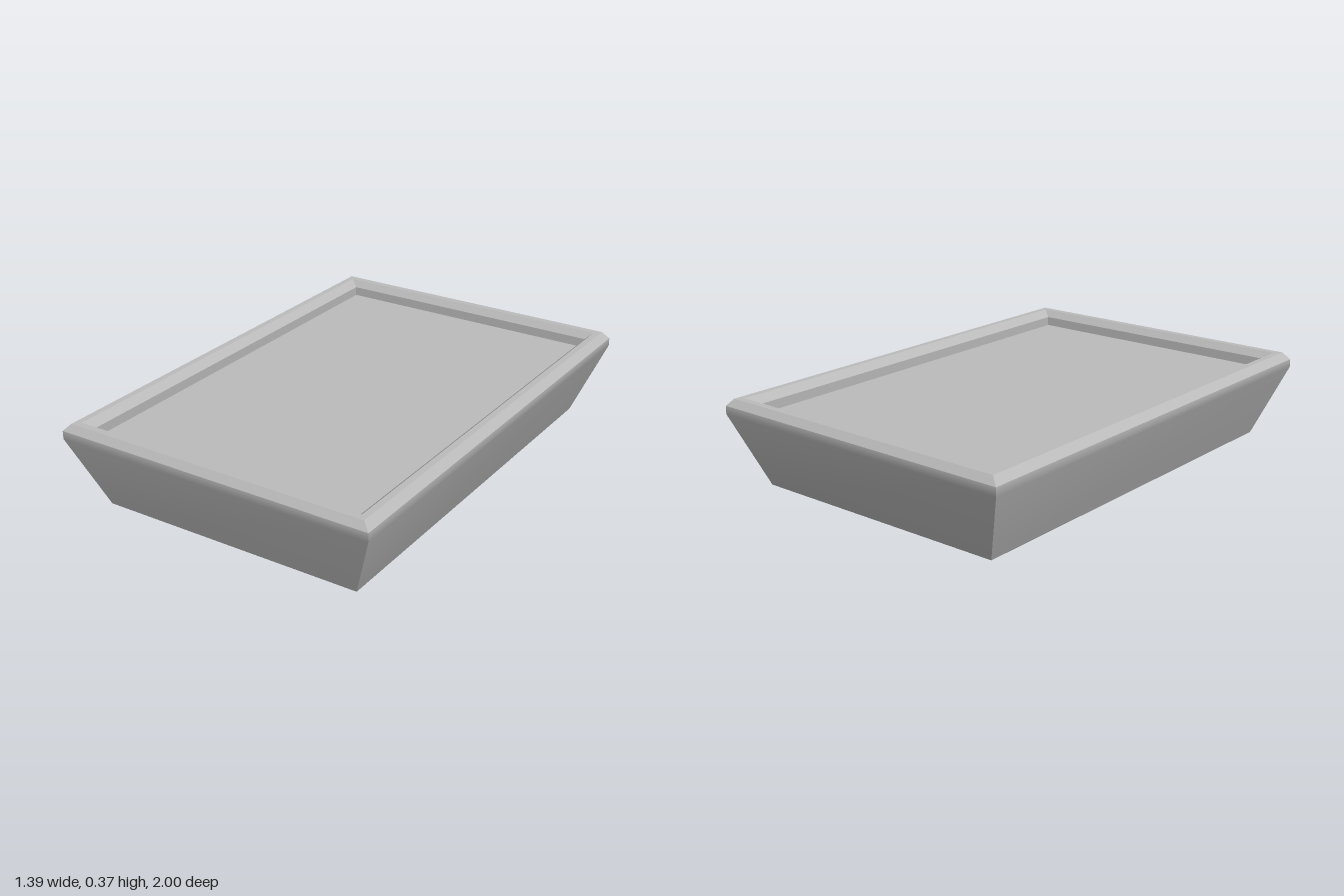
import * as THREE from 'three';

// Four mitred sides swept through rectangular rings [halfX, halfZ, y].
// Normals are smooth along the profile and sharp at the corners.
function mitredSides(rings) {
  const corners = [[1, 1], [1, -1], [-1, -1], [-1, 1]];
  const positions = [];
  const indices = [];
  for (let side = 0; side < 4; side++) {
    const start = positions.length / 3;
    rings.forEach(([hx, hz, y], i) => {
      for (const [sx, sz] of [corners[side], corners[(side + 1) % 4]]) {
        positions.push(sx * hx, y, sz * hz);
      }
      if (i > 0) {
        const a = start + (i - 1) * 2;
        indices.push(a, a + 1, a + 3, a, a + 3, a + 2);
      }
    });
  }
  const geometry = new THREE.BufferGeometry();
  geometry.setAttribute('position', new THREE.Float32BufferAttribute(positions, 3));
  geometry.setIndex(indices);
  geometry.computeVertexNormals();
  return geometry;
}

export function createModel() {
  const model = new THREE.Group();
  model.name = 'tray';
  const grey = new THREE.MeshStandardMaterial({ color: 0xbcbcbc });
  grey.name = 'grey';

  const add = (name, geometry) => {
    const mesh = new THREE.Mesh(geometry, grey);
    mesh.name = name;
    model.add(mesh);
    return mesh;
  };

  // Profile from the foot, over the rim and down to the recessed floor
  const foot = [0.577, 0.89, 0];
  const flare = [0.695, 1, 0.3];
  const lip = [0.695, 1, 0.335];
  const rimOuter = [0.665, 0.98, 0.365];
  const rimInner = [0.638, 0.951, 0.365];
  const wallTop = [0.606, 0.93, 0.335];
  const wallFoot = [0.606, 0.93, 0.295];

  add('outerWalls', mitredSides([foot, flare, lip]));
  add('outerBevel', mitredSides([lip, rimOuter]));
  add('rimTop', mitredSides([rimOuter, rimInner]));
  add('innerBevel', mitredSides([rimInner, wallTop]));
  add('innerWalls', mitredSides([wallTop, wallFoot]));

  // Recessed floor, facing up
  const floor = add('floor', new THREE.PlaneGeometry(2 * wallFoot[0], 2 * wallFoot[1]));
  floor.rotation.x = -Math.PI / 2;
  floor.position.y = wallFoot[2];

  // Underside, facing down
  const underside = add('underside', new THREE.PlaneGeometry(2 * foot[0], 2 * foot[1]));
  underside.rotation.x = Math.PI / 2;

  return model;
}
